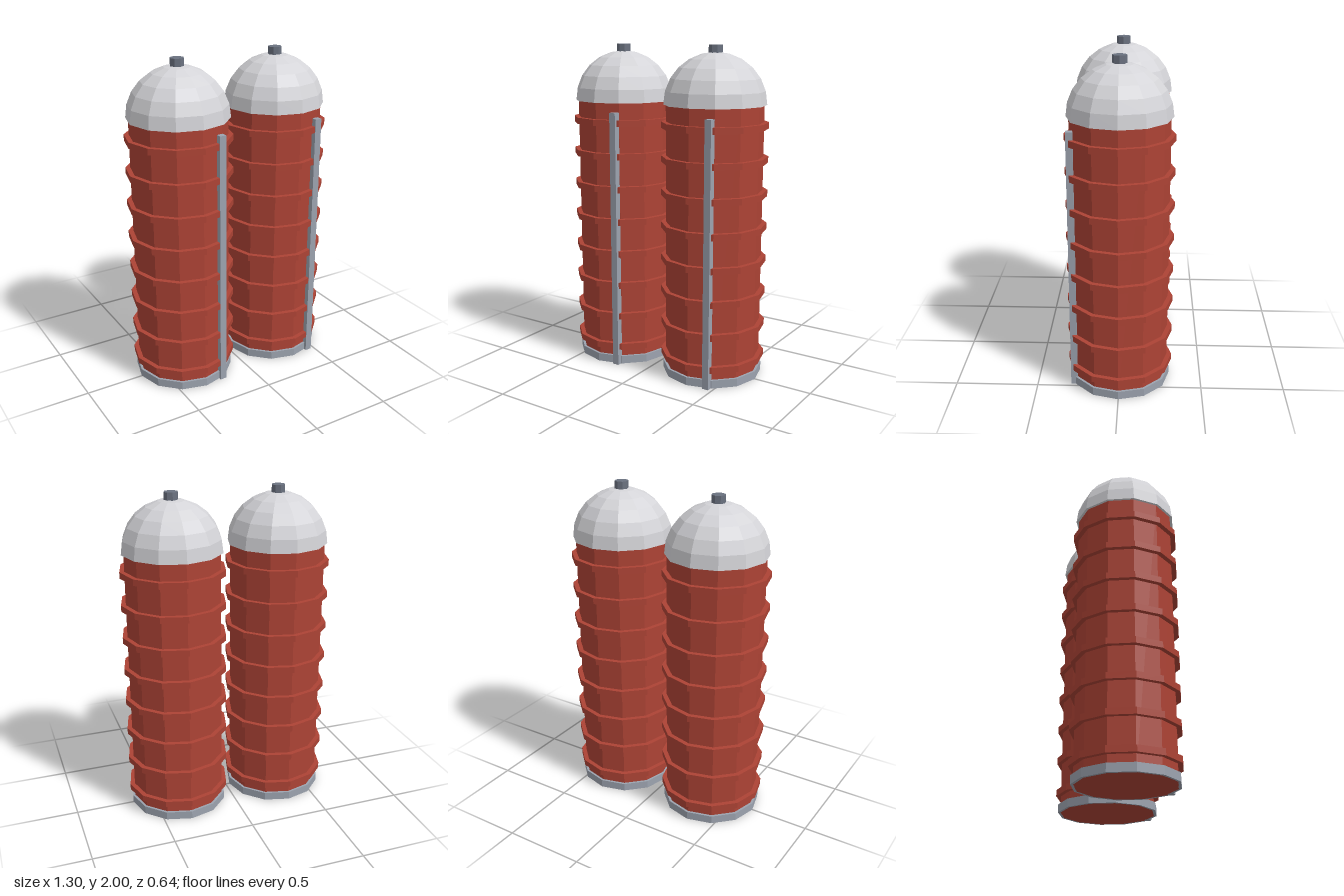
import * as THREE from 'three';

const SIDES = 12;

function flatMaterial(name, color) {
  return new THREE.MeshStandardMaterial({ name, color, flatShading: true });
}

export function createModel() {
  const red = flatMaterial('barn red', 0xad4335);
  const steel = flatMaterial('light steel', 0x9ca3af);
  const darkSteel = flatMaterial('dark steel', 0x6b7280);
  const pale = flatMaterial('pale metal', 0xd4d4d8);

  function add(parent, name, geometry, material, x, y, z) {
    const mesh = new THREE.Mesh(geometry, material);
    mesh.name = name;
    mesh.position.set(x, y, z);
    parent.add(mesh);
  }

  const lathe = (points) =>
    new THREE.LatheGeometry(points.map(([r, y]) => new THREE.Vector2(r, y)), SIDES);

  // Hemispherical roof profile, closed underneath
  const roofRadius = 0.305;
  const roofProfile = [[0, 0]];
  for (let i = 0; i <= 6; i++) {
    const a = (i / 6) * Math.PI / 2;
    roofProfile.push([i === 6 ? 0 : roofRadius * Math.cos(a), roofRadius * Math.sin(a)]);
  }

  const bodyGeometry = new THREE.CylinderGeometry(0.29, 0.29, 1.66, SIDES);
  const hoopGeometry = new THREE.CylinderGeometry(0.319, 0.319, 0.038, SIDES);
  const footingGeometry = lathe([[0.288, 0], [0.305, 0], [0.305, 0.05], [0.288, 0.05]]);
  const roofGeometry = lathe(roofProfile);
  const ventGeometry = new THREE.CylinderGeometry(0.042, 0.042, 0.07, 8);
  const ladderGeometry = new THREE.BoxGeometry(0.042, 1.6, 0.04);

  function createSilo(name, x) {
    const silo = new THREE.Group();
    silo.name = name;
    silo.position.x = x;
    add(silo, 'body', bodyGeometry, red, 0, 0.83, 0);
    add(silo, 'footing', footingGeometry, steel, 0, 0, 0);
    // Evenly spaced hoops around the body
    for (let i = 0; i < 8; i++) {
      add(silo, 'hoop' + (i + 1), hoopGeometry, red, 0, 0.118 + i * 0.2026, 0);
    }
    add(silo, 'domeRoof', roofGeometry, pale, 0, 1.655, 0);
    add(silo, 'roofVent', ventGeometry, darkSteel, 0, 1.965, 0);
    add(silo, 'ladderStrip', ladderGeometry, steel, 0.126, 0.8, 0.275);
    return silo;
  }

  const model = new THREE.Group();
  model.name = 'twinSilos';
  model.add(createSilo('rightSilo', -0.331), createSilo('leftSilo', 0.331));
  return model;
}
